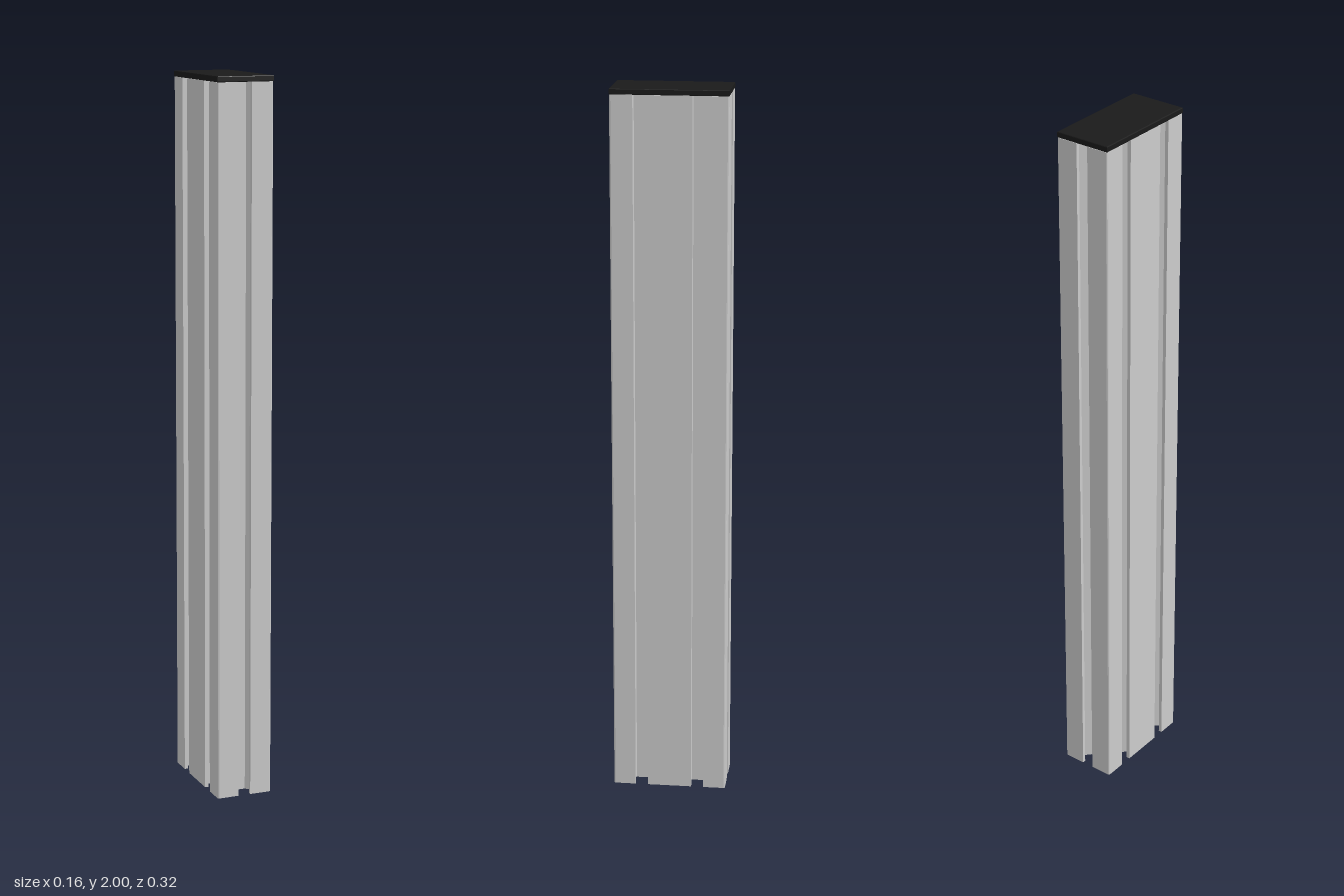
import * as THREE from 'three';

const UNIT = 0.004; // profile is laid out on a 40 x 80 module
const W = 20, H = 40, CAP = 0.016;

// Half of a T-slot: [offset from slot centre, depth below the face]
const HALF_SLOT = [[4.4, 0], [4.4, 2.5], [10, 2.5], [10, 6], [5, 11.5]];

const v = (x, y) => new THREE.Vector2(x * UNIT, y * UNIT);

// Walk one face from its start corner, cutting a slot at every given position
function addFace(points, start, dir, slots) {
  const inward = [-dir[1], dir[0]];
  const at = (u, d) => v(start[0] + dir[0] * u + inward[0] * d, start[1] + dir[1] * u + inward[1] * d);
  points.push(at(0.3, 0.3), at(1, 0));
  for (const c of slots) {
    for (const [u, d] of HALF_SLOT) points.push(at(c - u, d));
    for (const [u, d] of [...HALF_SLOT].reverse()) points.push(at(c + u, d));
  }
  const length = dir[0] ? 2 * W : 2 * H;
  points.push(at(length - 1, 0));
}

function profileShape() {
  const points = [];
  addFace(points, [-W, -H], [1, 0], [20]);
  addFace(points, [W, -H], [0, 1], [20, 60]);
  addFace(points, [W, H], [-1, 0], [20]);
  addFace(points, [-W, H], [0, -1], [20, 60]);
  const shape = new THREE.Shape(points);

  // Core bores
  for (const s of [-1, 1]) {
    shape.holes.push(new THREE.Path().absarc(0, s * 20 * UNIT, 3.4 * UNIT, 0, Math.PI * 2, true));
  }
  // Corner chambers
  for (const sx of [-1, 1]) for (const sy of [-1, 1]) {
    const corner = [[12.2, 32.2], [18, 32.2], [18, 38], [12.2, 38]];
    shape.holes.push(new THREE.Path(corner.map(([x, y]) => v(sx * x, sy * y))));
  }
  // Central chamber
  const q = [[18, 8], [13.5, 8], [8, 13]];
  const r = [...q].reverse();
  shape.holes.push(new THREE.Path([
    ...q.map(([x, y]) => v(x, y)), ...r.map(([x, y]) => v(-x, y)),
    ...q.map(([x, y]) => v(-x, -y)), ...r.map(([x, y]) => v(x, -y)),
  ]));
  return shape;
}

// Extrude a plan shape straight up
function upright(shape, height, y, color, name, options = {}) {
  const geometry = new THREE.ExtrudeGeometry(shape, { depth: height, bevelEnabled: false, curveSegments: 16, ...options });
  geometry.rotateX(-Math.PI / 2);
  const mesh = new THREE.Mesh(geometry, new THREE.MeshStandardMaterial({ color }));
  mesh.position.y = y;
  mesh.name = name;
  return mesh;
}

export function createModel() {
  const group = new THREE.Group();
  group.name = 'slottedProfilePost';
  group.add(upright(profileShape(), 2 - CAP, 0, 0xcccccc, 'slottedProfile'));

  // End cap with a softened top edge
  const b = 0.002, x = W * UNIT - b, z = H * UNIT - b;
  const plate = new THREE.Shape([[-x, -z], [x, -z], [x, z], [-x, z]].map(([a, c]) => new THREE.Vector2(a, c)));
  group.add(upright(plate, CAP - 2 * b, 2 - CAP + b, 0x1a1a1a, 'endCap',
    { bevelEnabled: true, bevelThickness: b, bevelSize: b, bevelSegments: 2 }));
  return group;
}
